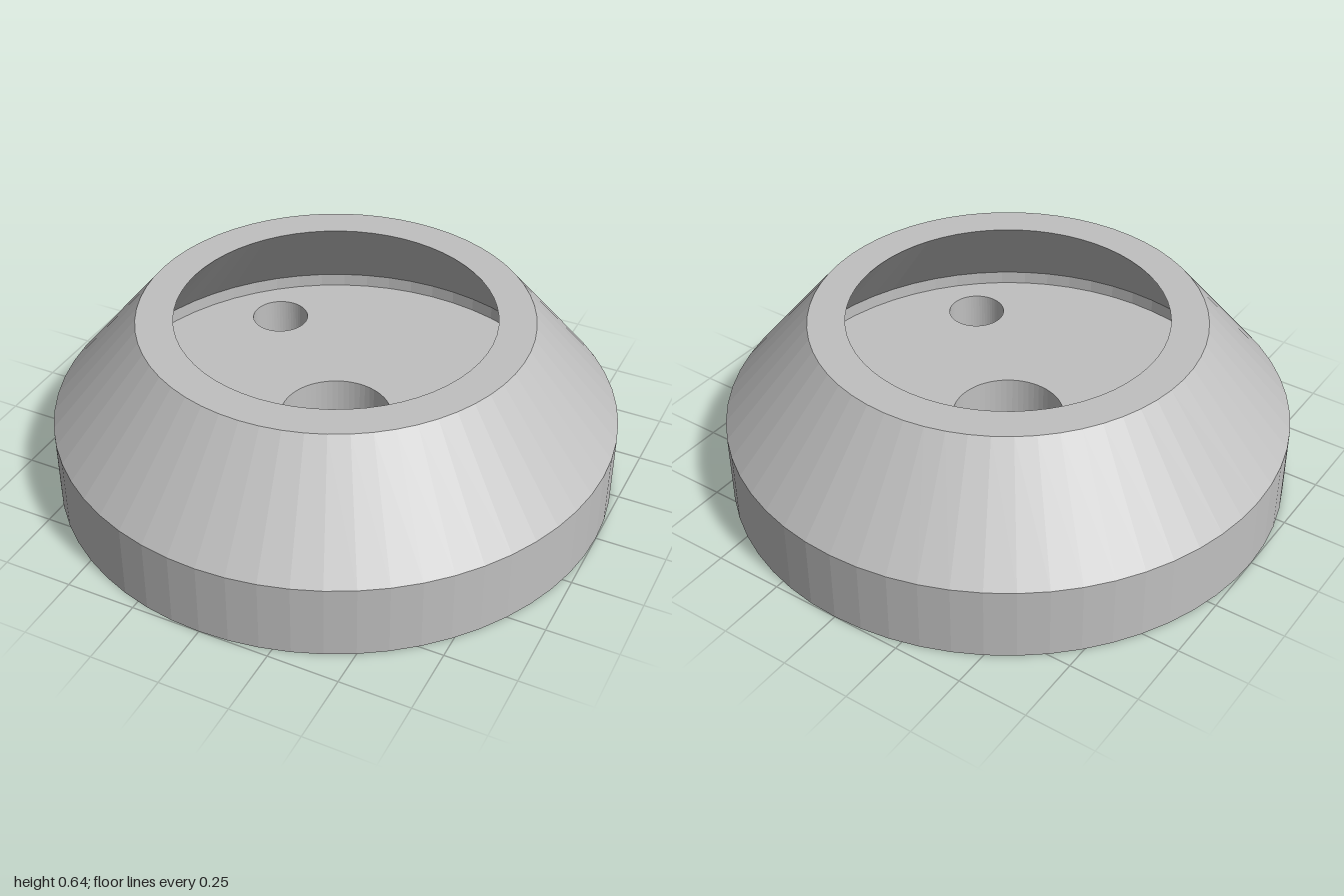
import * as THREE from 'three';

const SIDES = 60;
const FLOOR = 0.21; // thickness of the base plate

function circle(path, x, y, r, clockwise = false) {
  path.absarc(x, y, r, 0, Math.PI * 2, clockwise);
  return path;
}

export function createModel() {
  const model = new THREE.Group();
  model.name = 'flangedCup';
  const metal = new THREE.MeshStandardMaterial({ color: 0xc0c0c0, flatShading: true });
  metal.name = 'grey metal';

  // Base plate with a centre bore and four bolt holes
  const plate = circle(new THREE.Shape(), 0, 0, 1);
  plate.holes.push(circle(new THREE.Path(), 0, 0, 0.2, true));
  for (let i = 0; i < 4; i++) {
    const a = Math.PI / 4 + (i * Math.PI) / 2;
    plate.holes.push(circle(new THREE.Path(), 0.675 * Math.cos(a), 0.675 * Math.sin(a), 0.106, true));
  }
  const plateGeometry = new THREE.ExtrudeGeometry(plate, {
    depth: FLOOR, bevelEnabled: false, curveSegments: SIDES / 2,
  });
  plateGeometry.rotateX(-Math.PI / 2);
  const basePlate = new THREE.Mesh(plateGeometry, metal);
  basePlate.name = 'basePlate';
  model.add(basePlate);

  // Hollow wall: straight skirt, tapered outside, flat rim, undercut inside
  const profile = [
    [1, FLOOR], [1, 0.27], [0.69, 0.64], [0.56, 0.64], [0.87, 0.26], [0.87, FLOOR],
  ].map(([r, y]) => new THREE.Vector2(r, y));
  const wall = new THREE.Mesh(new THREE.LatheGeometry(profile, SIDES), metal);
  wall.name = 'taperedWall';
  model.add(wall);

  return model;
}
